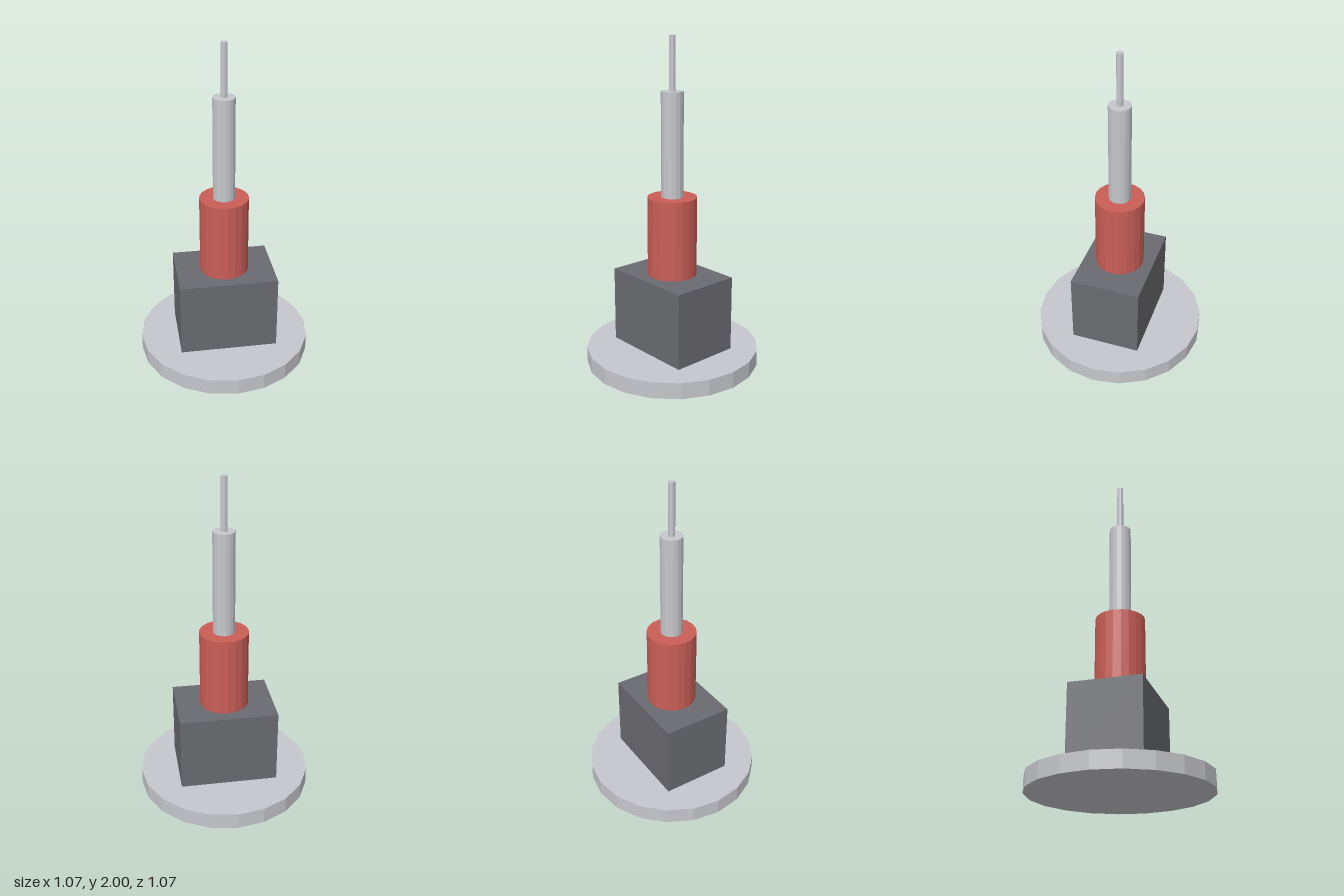
import * as THREE from 'three';

export function createModel() {
  const group = new THREE.Group();
  group.name = 'mastTower';

  const material = (name, color) => {
    const m = new THREE.MeshStandardMaterial({ color, flatShading: true });
    m.name = name;
    return m;
  };
  const silver = material('silver', 0xc6c7cc);
  const darkGrey = material('darkGrey', 0x6a6b70);
  const red = material('red', 0xca5e57);

  // Places a geometry so that it spans from bottom to top
  const add = (name, geometry, mat, bottom, top) => {
    const mesh = new THREE.Mesh(geometry, mat);
    mesh.name = name;
    mesh.position.y = (bottom + top) / 2;
    group.add(mesh);
  };
  const cylinder = (name, radius, sides, mat, bottom, top) =>
    add(name, new THREE.CylinderGeometry(radius, radius, top - bottom, sides), mat, bottom, top);

  // Round foot and block body
  cylinder('base', 0.533, 20, silver, 0, 0.1);
  add('body', new THREE.BoxGeometry(0.6, 0.467, 0.433), darkGrey, 0.1, 0.567);

  // Stepped mast
  cylinder('collar', 0.15, 20, red, 0.567, 1.053);
  cylinder('mast', 0.067, 16, silver, 1.053, 1.683);
  cylinder('tip', 0.02, 12, silver, 1.683, 2);

  return group;
}
